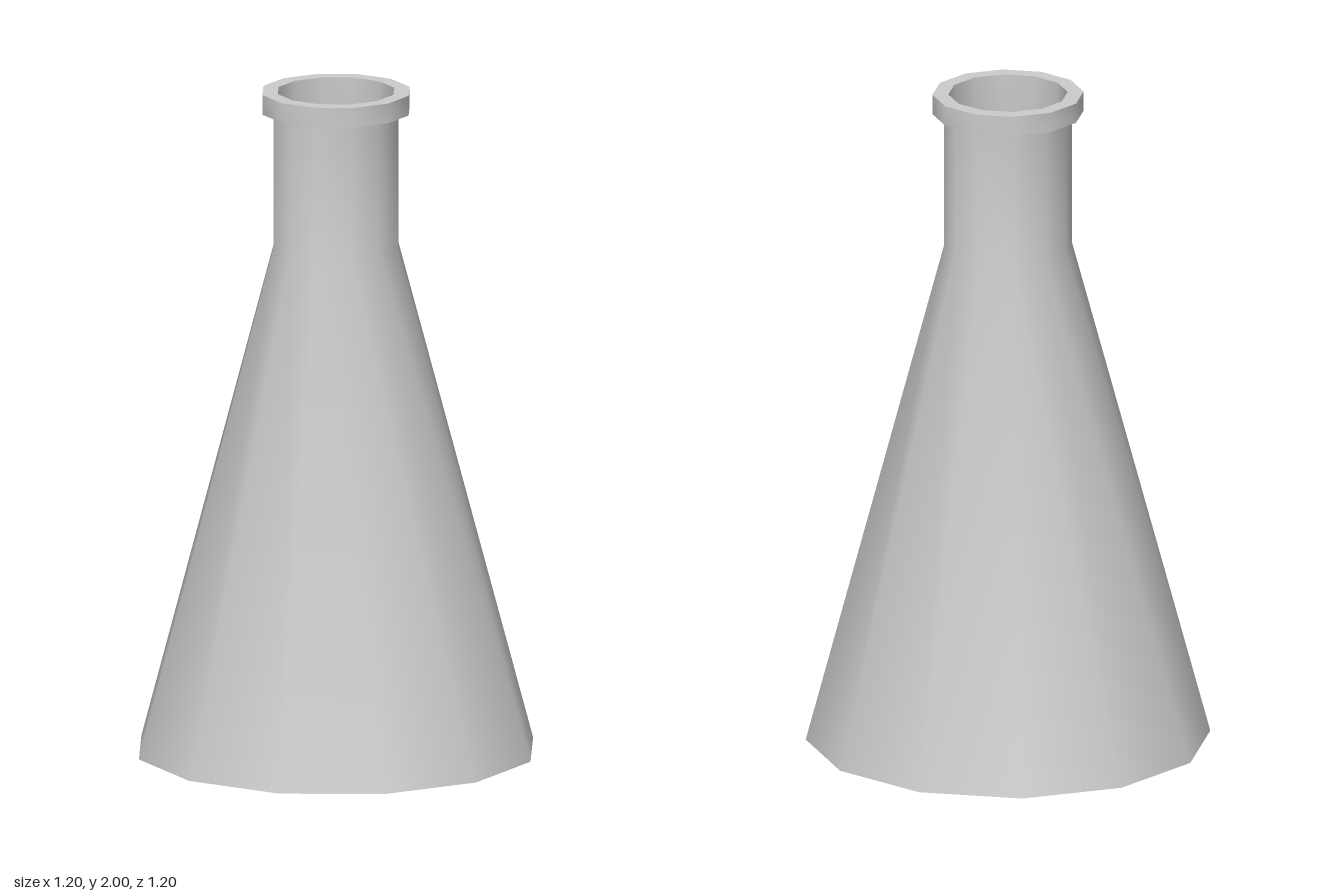
import * as THREE from 'three';
import { toCreasedNormals } from 'three/addons/utils/BufferGeometryUtils.js';

const SIDES = 12;

export function createModel() {
  const group = new THREE.Group();
  group.name = 'conicalFlask';
  const material = new THREE.MeshStandardMaterial({ color: 0xcccccc });

  // Turns a [radius, height] profile around y, smooth around but sharp at rims
  function turned(name, profile) {
    const points = profile.map(([r, y]) => new THREE.Vector2(r, y));
    const geometry = toCreasedNormals(new THREE.LatheGeometry(points, SIDES), 0.65);
    const mesh = new THREE.Mesh(geometry, material);
    mesh.name = name;
    group.add(mesh);
  }

  // Base, sloping wall and straight neck
  turned('outerBody', [[0, 0], [0.6, 0], [0.19, 1.53], [0.19, 1.94]]);

  // Raised lip around the mouth
  turned('lip', [[0.19, 1.94], [0.224, 1.94], [0.224, 2], [0.177, 2]]);

  // Hollow inside, from the mouth down to the floor
  turned('innerWall', [[0.177, 2], [0.177, 1.53], [0.58, 0.02], [0, 0.02]]);

  return group;
}
